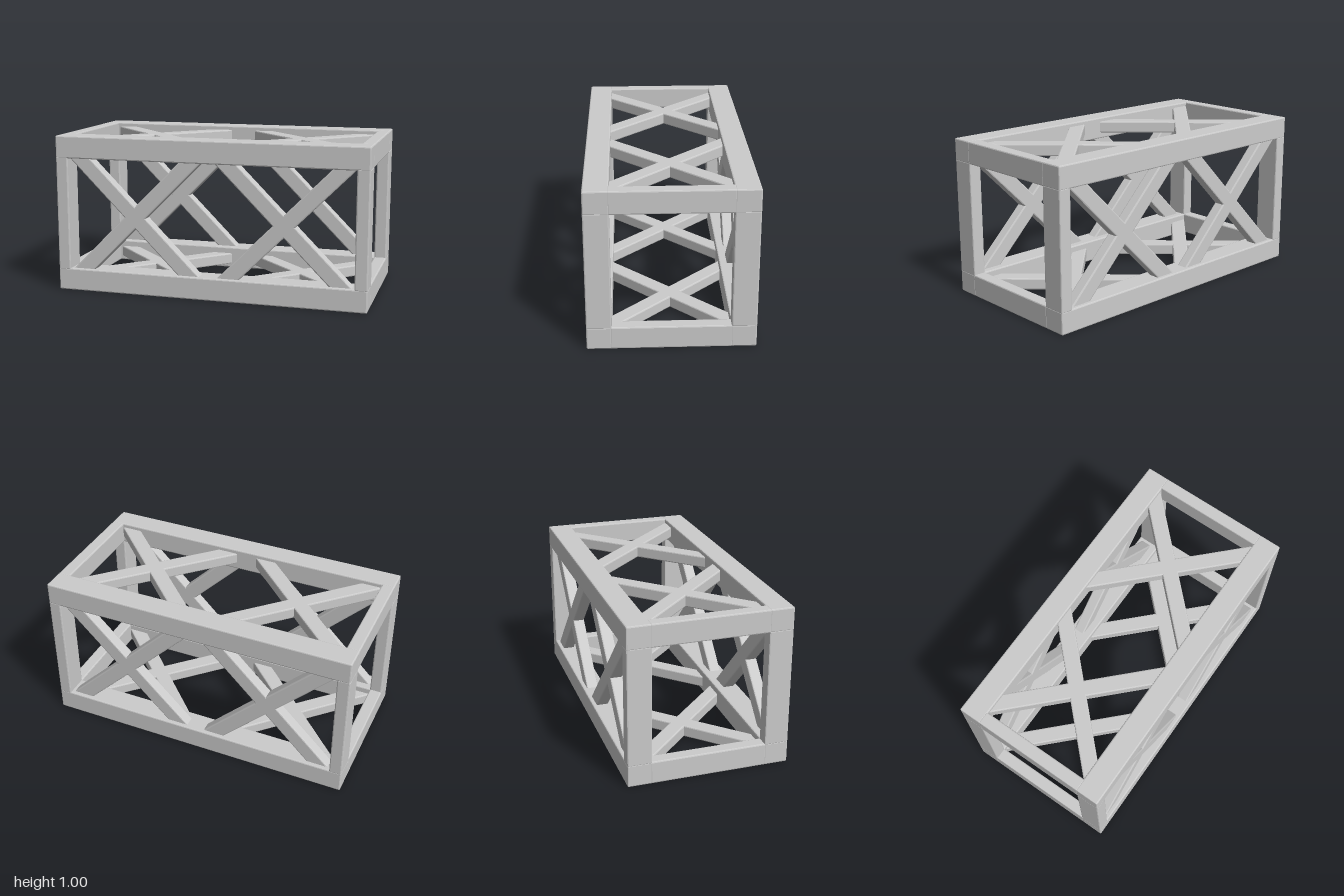
import * as THREE from 'three';
import { RoundedBoxGeometry } from 'three/addons/geometries/RoundedBoxGeometry.js';

const L = 2, H = 1, D = 1;               // overall size
const BH = 0.142, BD = 0.15, PW = 0.08;  // beam height, beam depth, end-post width
const BRACE = { length: 1.14, width: 0.1, thick: 0.075, recess: 0.026 };

export function createModel() {
  const model = new THREE.Group();
  model.name = 'trussSegment';
  const material = new THREE.MeshStandardMaterial({ color: 0xcccccc, flatShading: true });

  // Bar with narrow chamfered edges
  function bar(name, w, h, d, x, y, z) {
    const mesh = new THREE.Mesh(new RoundedBoxGeometry(w, h, d, 1, 0.008), material);
    mesh.name = name;
    mesh.position.set(x, y, z);
    model.add(mesh);
    return mesh;
  }

  const lap = 0.02; // overlap of butted bars
  for (const s of [-1, 1]) {
    const endX = s * (L - PW) / 2;
    for (const t of [-1, 1]) {
      const y = H / 2 + t * (H - BH) / 2;
      const z = s * (D - BD) / 2;
      bar('longBeam', L, BH, BD, 0, y, z);
      bar('endCrossbar', PW, BH, D - 2 * BD + lap, endX, y, 0);
      bar('endPost', PW, H - 2 * BH + lap, BD, endX, H / 2, t * (D - BD) / 2);
    }
  }

  // Two X braces on each long side
  const { length, width, thick, recess } = BRACE;
  const inset = 0.5 - recess - thick / 2;
  for (const side of [-1, 1]) {
    for (const half of [-1, 1]) {
      for (const tilt of [-1, 1]) {
        // front and back
        bar('sideBrace', length, width, thick, half * 0.48, 0.492, side * inset)
          .rotation.z = tilt * Math.PI / 4;
        // top and bottom
        bar('deckBrace', length, thick, width, half * 0.495, H / 2 + side * inset, -0.007)
          .rotation.y = tilt * Math.PI / 4;
      }
    }
  }
  return model;
}
